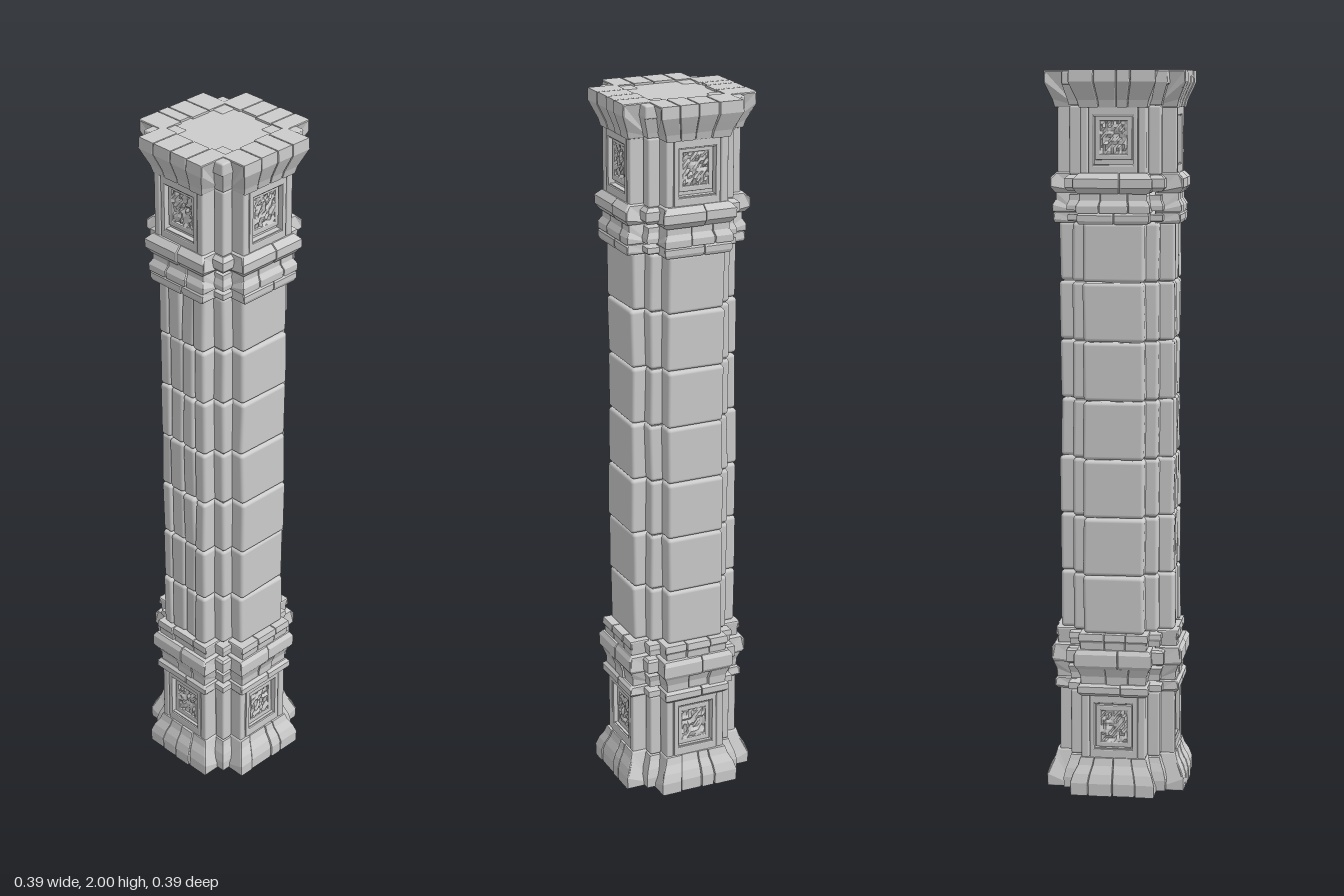
import * as THREE from 'three';
import { RoundedBoxGeometry } from 'three/addons/geometries/RoundedBoxGeometry.js';

const stoneMat = new THREE.MeshStandardMaterial({ color: 0xcccccc });

// Small seeded generator, returns -1..1
let seed = 7;
const rnd = () => {
  seed = (seed * 16807) % 2147483647;
  return (seed / 2147483647) * 2 - 1;
};

// The stepped plan follows from the reach of a face: arm half-width and corner half-width
const armHalf = (reach) => reach - 0.075;
const cornerHalf = (reach) => reach * 0.7 + 0.008;

function add(parent, geometry, name, x = 0, y = 0, z = 0) {
  const mesh = new THREE.Mesh(geometry, stoneMat);
  mesh.name = name;
  mesh.position.set(x, y, z);
  parent.add(mesh);
  return mesh;
}

// Reach of a profile [[reach, y], ...] at a height
function reachAt(profile, y) {
  for (let i = 1; i < profile.length; i++) {
    const [r0, y0] = profile[i - 1], [r1, y1] = profile[i];
    if (y <= y1) return r0 + (r1 - r0) * THREE.MathUtils.clamp((y - y0) / (y1 - y0), 0, 1);
  }
  return profile[profile.length - 1][0];
}

// One moulded stone: the profile run sideways from t0 to t1, tapering with the reach
function mouldedStone(profile, t0, t1, inner) {
  const bevel = 0.004;
  const first = profile[0], last = profile[profile.length - 1];
  const pts = [[inner, first[1]], ...profile, [inner, last[1]]];
  const shape = new THREE.Shape(pts.map(([r, y]) => new THREE.Vector2(r, y)));
  const g = new THREE.ExtrudeGeometry(shape, {
    depth: t1 - t0 - 2 * bevel, bevelThickness: bevel, bevelSize: bevel,
    bevelOffset: -bevel, bevelSegments: 2, steps: 1,
  });
  g.rotateY(-Math.PI / 2).translate(t1 - bevel, 0, 0);
  const widest = Math.max(...profile.map((p) => p[0]));
  const p = g.attributes.position;
  for (let i = 0; i < p.count; i++) {
    p.setX(i, p.getX(i) * armHalf(reachAt(profile, p.getY(i))) / armHalf(widest));
  }
  g.computeVertexNormals();
  return g;
}

// Square core that forms the four inner corner steps
function squareCore(profile) {
  const first = profile[0], last = profile[profile.length - 1];
  const pts = profile.map(([r, y]) => new THREE.Vector2(cornerHalf(r) * Math.SQRT2, y));
  pts[0].y += 0.006;
  pts[pts.length - 1].y -= 0.006;
  const g = new THREE.LatheGeometry(
    [new THREE.Vector2(0, first[1] + 0.006), ...pts, new THREE.Vector2(0, last[1] - 0.006)],
    4, Math.PI / 4).toNonIndexed();
  g.computeVertexNormals();
  return g;
}

const forSides = (parent, name, build) => {
  for (let i = 0; i < 4; i++) {
    const side = new THREE.Group();
    side.name = name + 'Side';
    side.rotation.y = i * Math.PI / 2;
    build(side, i);
    parent.add(side);
  }
};

// A full ring of moulded stones around the core
function mouldedCourse(parent, name, profile, cuts) {
  add(parent, squareCore(profile), name + 'Core');
  const b = armHalf(Math.max(...profile.map((p) => p[0])));
  forSides(parent, name, (side) => {
    const t = cuts.map((c, i) => b * (i % (cuts.length - 1) ? c + rnd() * 0.1 : c));
    for (let i = 1; i < t.length; i++) {
      const g = mouldedStone(profile, t[i - 1] + 0.0005, t[i] - 0.0005, 0.108 + rnd() * 0.006);
      add(side, g, name + 'Stone', 0, 0, rnd() * 0.003);
    }
  });
}

// Roughly carved panel face
function carvedPanel(w, h) {
  const g = new THREE.PlaneGeometry(w, h, 10, 10);
  const p = g.attributes.position;
  for (let i = 0; i < p.count; i++) p.setZ(i, 0.004 + rnd() * 0.005);
  const flat = g.toNonIndexed();
  flat.computeVertexNormals();
  return flat;
}

function rectFrame(w, h, iw, ih, depth) {
  const shape = new THREE.Shape();
  const rect = (path, a, b) => path.moveTo(-a, -b).lineTo(a, -b).lineTo(a, b).lineTo(-a, b).closePath();
  rect(shape, w, h);
  const hole = new THREE.Path();
  rect(hole, iw, ih);
  shape.holes.push(hole);
  return new THREE.ExtrudeGeometry(shape, {
    depth, bevelThickness: 0.004, bevelSize: 0.003, bevelOffset: -0.003, bevelSegments: 2,
  });
}

// Panelled block between y0 and y1 with recessed carved panels and corner strips
function panelBlock(parent, name, y0, y1, panelY) {
  const h = y1 - y0, mid = (y0 + y1) / 2;
  add(parent, new THREE.BoxGeometry(0.236, h, 0.236), name + 'Core', 0, mid, 0);
  for (const sx of [-1, 1]) for (const sz of [-1, 1]) {
    add(parent, new RoundedBoxGeometry(0.035, h, 0.035, 2, 0.006), name + 'CornerPost',
      sx * 0.108, mid, sz * 0.108);
  }
  forSides(parent, name, (side) => {
    add(side, new THREE.BoxGeometry(0.176, h, 0.03), name + 'Backing', 0, mid, 0.127);
    add(side, rectFrame(0.067, h / 2, 0.053, 0.066, 0.02), name + 'Frame', 0, mid, 0.139);
    add(side, rectFrame(0.05, 0.06, 0.036, 0.044, 0.008), name + 'InnerFrame', 0, panelY, 0.14);
    add(side, carvedPanel(0.074, 0.09), name + 'Carving', 0, panelY, 0.144);
    for (const s of [-1, 1]) {
      add(side, new RoundedBoxGeometry(0.022, h, 0.05, 2, 0.005), name + 'Strip',
        s * 0.079, mid, 0.138 + rnd() * 0.002);
      add(side, new THREE.BoxGeometry(0.11, 0.01, 0.02), name + 'Ledge', 0, mid + s * 0.068, 0.148);
    }
  });
}

// Worn shaft stone: rounded box with its corners nudged
function wornStone(w, h, d, wear) {
  const g = new RoundedBoxGeometry(w, h, d, 3, Math.min(0.01, w * 0.25));
  const p = g.attributes.position;
  const k = [rnd(), rnd(), rnd(), rnd()].map((v) => v * wear);
  for (let i = 0; i < p.count; i++) {
    const u = p.getX(i) / w, v = p.getY(i) / h;
    p.setZ(i, p.getZ(i) + k[0] * u + k[1] * v + k[2] * u * v);
    p.setX(i, p.getX(i) + k[3] * v);
  }
  return g;
}

function buildShaft(parent, y0, y1, courses) {
  const h = (y1 - y0) / courses;
  add(parent, new THREE.BoxGeometry(0.222, y1 - y0, 0.222), 'shaftCore', 0, (y0 + y1) / 2, 0);
  for (let c = 0; c < courses; c++) {
    const y = y0 + (c + 0.5) * h;
    add(parent, wornStone(0.238, h - 0.002, 0.238, 0.003), 'shaftCornerStones', 0, y, 0);
    forSides(parent, 'shaft', (side, i) => {
      // One face is laid in narrow upright strips
      const cuts = i === 3 ? [-0.085, -0.05, 0.0, 0.045, 0.085] : [-0.085, 0.085];
      for (let k = 1; k < cuts.length; k++) {
        const w = cuts[k] - cuts[k - 1];
        add(side, wornStone(w - 0.001, h - 0.002, 0.08, 0.004), 'shaftStone',
          (cuts[k] + cuts[k - 1]) / 2, y, 0.119 + rnd() * 0.003);
      }
    });
  }
}

export function createModel() {
  const pillar = new THREE.Group();
  pillar.name = 'stonePillar';
  const four = [-1, -0.5, 0, 0.45, 1], three = [-1, -0.3, 0.4, 1], two = [-1, 0.1, 1];

  // Base
  mouldedCourse(pillar, 'plinth',
    [[0.193, 0], [0.194, 0.035], [0.186, 0.06], [0.174, 0.082], [0.168, 0.103]], four);
  panelBlock(pillar, 'pedestal', 0.1, 0.285, 0.19);
  mouldedCourse(pillar, 'baseFillet', [[0.168, 0.28], [0.176, 0.288], [0.176, 0.306], [0.168, 0.314]], two);
  mouldedCourse(pillar, 'baseCove', [[0.167, 0.312], [0.168, 0.335], [0.177, 0.36]], three);
  mouldedCourse(pillar, 'baseBand', [[0.178, 0.358], [0.184, 0.368], [0.184, 0.4], [0.176, 0.412]], two);
  mouldedCourse(pillar, 'baseCollar', [[0.168, 0.41], [0.169, 0.43], [0.174, 0.437], [0.172, 0.456]], three);

  buildShaft(pillar, 0.455, 1.592, 7);

  // Capital
  mouldedCourse(pillar, 'capCollar', [[0.17, 1.588], [0.174, 1.597], [0.174, 1.612], [0.168, 1.62]], two);
  mouldedCourse(pillar, 'capCove', [[0.176, 1.618], [0.177, 1.637], [0.168, 1.652], [0.168, 1.672]], three);
  mouldedCourse(pillar, 'capBand', [[0.172, 1.67], [0.184, 1.686], [0.184, 1.71], [0.168, 1.726]], two);
  panelBlock(pillar, 'capital', 1.72, 1.905, 1.82);
  mouldedCourse(pillar, 'crown',
    [[0.168, 1.9], [0.173, 1.92], [0.184, 1.945], [0.194, 1.968], [0.193, 2]], four);

  // Corner stones laid in the top of the crown
  for (const sx of [-1, 1]) for (const sz of [-1, 1]) {
    add(pillar, new RoundedBoxGeometry(0.078, 0.036, 0.078, 2, 0.005), 'crownCornerStone',
      sx * (0.106 + rnd() * 0.004), 1.979, sz * (0.106 + rnd() * 0.004));
  }
  return pillar;
}
